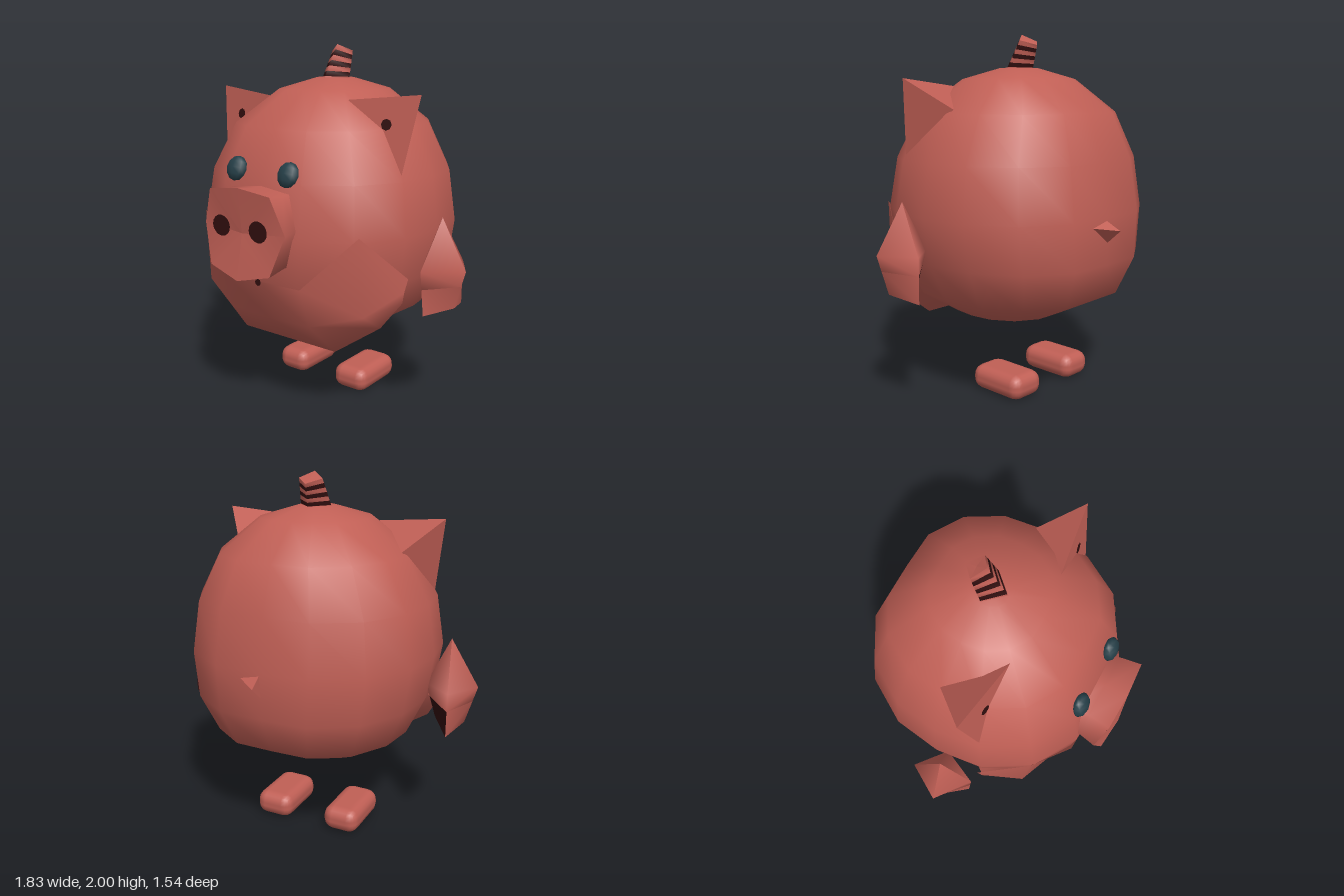
import * as THREE from 'three';
import { RoundedBoxGeometry } from 'three/addons/geometries/RoundedBoxGeometry.js';

// Joins rows of points into a surface; rows go upward, points run anticlockwise from above.
function loft(rows, closed = true) {
  const n = rows[0].length, index = [];
  for (let r = 0; r < rows.length - 1; r++) {
    for (let i = 0; i < (closed ? n : n - 1); i++) {
      const a = r * n + i, b = r * n + (i + 1) % n;
      index.push(a, b, a + n, b, b + n, a + n);
    }
  }
  const g = new THREE.BufferGeometry();
  g.setAttribute('position', new THREE.Float32BufferAttribute(rows.flat(2), 3));
  g.setIndex(index);
  g.computeVertexNormals();
  return g;
}

const repeat = (p, n) => Array.from({ length: n }, () => p);
const mix = (a, b, t) => a.map((v, i) => v + (b[i] - v) * t);
const mixRow = (r, s, t) => r.map((p, i) => mix(p, s[i], t));

// Faceted four-cornered solid
function tetra(a, b, c, d) {
  const g = new THREE.BufferGeometry();
  g.setAttribute('position', new THREE.Float32BufferAttribute(
    [a, b, c, a, c, d, a, d, b, b, d, c].flat(2), 3));
  g.computeVertexNormals();
  return g;
}

export function createModel() {
  const model = new THREE.Group();
  const material = (name, color) =>
    new THREE.MeshStandardMaterial({ name, color, side: THREE.DoubleSide });
  const skin = material('skin', 0xc05f55);
  const dark = material('dark brown', 0x300e0e);
  const teal = material('eye teal', 0x263f48);
  const add = (name, geometry, mat, parent = model) => {
    const mesh = new THREE.Mesh(geometry, mat);
    mesh.name = name;
    parent.add(mesh);
    return mesh;
  };

  // Body: sixteen-sided rounded rings
  const quarter = [[0, 1], [0.39, 0.99], [0.74, 0.77], [0.95, 0.4], [1, 0]];
  const outline = [
    ...quarter,
    ...quarter.slice(0, 4).reverse().map(([x, z]) => [x, -z]),
    ...quarter.slice(1).map(([x, z]) => [-x, -z]),
    ...quarter.slice(1, 4).reverse().map(([x, z]) => [-x, z]),
  ];
  // height, half width, front z, back z
  const bodyRings = [
    [0.46, 0, -0.02, -0.02], [0.46, 0.34, 0.3, -0.34], [0.59, 0.55, 0.5, -0.6],
    [0.8, 0.65, 0.6, -0.69], [1.05, 0.69, 0.62, -0.69], [1.33, 0.65, 0.57, -0.65],
    [1.58, 0.52, 0.46, -0.56], [1.76, 0.3, 0.23, -0.35], [1.82, 0.1, 0.04, -0.16],
    [1.82, 0, -0.06, -0.06],
  ];
  add('body', loft(bodyRings.map(([y, w, f, b]) =>
    outline.map(([x, z]) => [x * w, y, (f + b) / 2 + z * (f - b) / 2]))), skin);

  // Belly panel wrapping the lower front
  const halfPanel = [
    [[0, 0.47, 0.18], [0.3, 0.47, 0.2], [0.5, 0.6, 0.2], [0.6, 0.75, 0.16]],
    [[0, 0.4, 0.37], [0.32, 0.4, 0.37], [0.56, 0.57, 0.3], [0.64, 0.7, 0.22]],
    [[0, 0.57, 0.53], [0.27, 0.58, 0.53], [0.54, 0.66, 0.43], [0.65, 0.76, 0.22]],
    [[0, 0.8, 0.62], [0.27, 0.8, 0.605], [0.53, 1.08, 0.46], [0.66, 0.83, 0.2]],
  ];
  add('bellyPanel', loft(halfPanel.map(row => [
    ...row.slice(1).reverse().map(([x, y, z]) => [-x, y, z]), ...row]), false), skin);
  const navel = add('navel', new THREE.CircleGeometry(0.02, 8), dark);
  navel.position.set(0.015, 0.8, 0.632);

  // Snout: flared octagon with a dished front
  const rim = [[0.27, 1.1, 0.71], [0.2, 1.29, 0.74], [0, 1.315, 0.75], [-0.2, 1.29, 0.74],
    [-0.27, 1.1, 0.71], [-0.2, 0.89, 0.75], [0, 0.84, 0.77], [0.2, 0.89, 0.75]];
  const snoutRing = (s, z) => rim.map(([x, y]) => [x * s, 1.08 + (y - 1.08) * s, z]);
  add('snoutSide', loft([snoutRing(0.93, 0.5), snoutRing(0.93, 0.62), rim]), skin);
  add('snoutFront', loft([rim, repeat([0, 1.08, 0.725], 8)]), skin);
  for (const x of [-0.13, 0.118]) {
    const nostril = add('nostril', new THREE.CircleGeometry(0.06, 16), dark);
    nostril.position.set(x, 1.105, 0.737);
    nostril.scale.y = 0.92;
  }

  // Eyes
  for (const x of [-0.18, 0.168]) {
    const eye = add('eye', new THREE.SphereGeometry(0.067, 8, 6), teal);
    eye.position.set(x, 1.37, 0.56);
    eye.rotation.x = -0.4;
    eye.scale.z = 0.55;
  }

  // Ears and arms, mirrored
  for (const side of [1, -1]) {
    const half = new THREE.Group();
    half.name = side > 0 ? 'leftSide' : 'rightSide';
    half.scale.x = side;
    model.add(half);

    const tip = [0.667, 1.76, 0.13], inner = [0.25, 1.72, 0.19], low = [0.6, 1.34, 0.2];
    add('ear', tetra(low, tip, inner, [0.5, 1.6, -0.07]), skin, half);
    const v = [tip, inner, low].map(p => new THREE.Vector3(...p));
    const face = new THREE.Triangle(...v);
    const normal = face.getNormal(new THREE.Vector3());
    const mark = add('earMark', new THREE.CircleGeometry(0.03, 8), dark, half);
    mark.position.copy(face.getMidpoint(new THREE.Vector3())).addScaledVector(normal, 0.006);
    mark.position.x -= 0.01;
    mark.quaternion.setFromUnitVectors(new THREE.Vector3(0, 0, 1), normal);

    // Corners: front, outer, back, inner
    const middle = [[0.73, 0.88, 0.2], [0.913, 0.88, 0.06], [0.8, 0.88, -0.13], [0.64, 0.88, 0]];
    const bottom = [[0.74, 0.64, 0.18], [0.85, 0.67, 0.05], [0.8, 0.64, -0.13], [0.69, 0.69, 0.02]];
    const cuff = mixRow(middle, bottom, 0.4);
    add('arm', loft([cuff, middle, repeat([0.76, 1.14, 0.04], 4)]), skin, half);
    add('armOuterEnd', loft([bottom.slice(0, 3), cuff.slice(0, 3)], false), skin, half);
    const innerSide = r => [r[2], r[3], r[0]];
    add('hoofInner', loft([innerSide(bottom), innerSide(cuff)], false), dark, half);
    add('hoofBase', loft([repeat([0.77, 0.72, 0.03], 4), bottom]), dark, half);
  }

  // Feet
  for (const [x, w, y] of [[0.172, 0.225, 0.073], [-0.255, 0.21, 0.078]]) {
    const foot = add('foot', new RoundedBoxGeometry(w, 0.14, 0.36, 2, 0.06), skin);
    foot.position.set(x, y, -0.13);
  }

  // Striped tuft leaning back
  const tuftBase = [[0, 1.8, 0.045], [0.095, 1.8, -0.06], [0, 1.8, -0.16], [-0.095, 1.8, -0.06]];
  const tuftTop = [[0, 2, -0.08], [0.07, 1.965, -0.13], [0, 1.94, -0.195], [-0.07, 1.965, -0.13]];
  const bands = 7;
  for (let i = 0; i < bands; i++) {
    add('tuftBand', loft([mixRow(tuftBase, tuftTop, i / bands),
      mixRow(tuftBase, tuftTop, (i + 1) / bands)]), i % 2 ? dark : skin);
  }
  add('tuftCap', loft([tuftTop, repeat([0, 1.967, -0.135], 4)]), skin);

  // Tail
  add('tail', tetra([0, 0.99, -0.77], [0.01, 1.04, -0.68], [0.13, 1.01, -0.68],
    [0, 0.91, -0.68]), skin);

  return model;
}
